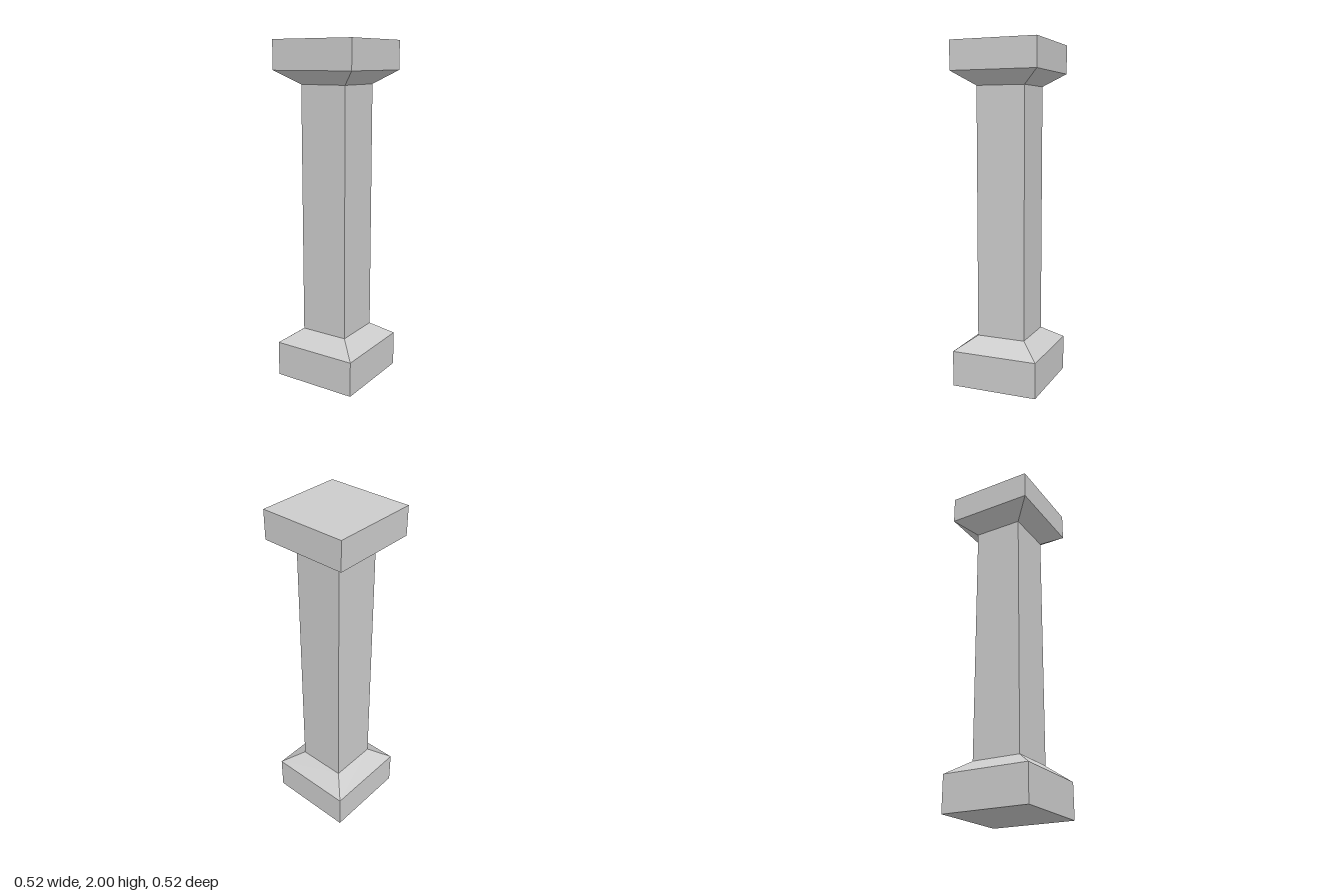
import * as THREE from 'three';

const BLOCK = 0.258; // half width of plinth and cap
const SHAFT = 0.146; // half width of shaft

export function createModel() {
  const group = new THREE.Group();
  const material = new THREE.MeshStandardMaterial({ color: 0xcccccc, flatShading: true });

  // Square section from y0 to y1, with half widths at its bottom and top
  function section(name, y0, y1, bottom, top) {
    const geometry = new THREE.CylinderGeometry(
      top * Math.SQRT2, bottom * Math.SQRT2, y1 - y0, 4, 1, true);
    geometry.rotateY(Math.PI / 4);
    geometry.translate(0, (y0 + y1) / 2, 0);
    add(name, geometry);
  }

  // Flat square closing one end of the pillar
  function endFace(name, y, tilt) {
    const geometry = new THREE.PlaneGeometry(BLOCK * 2, BLOCK * 2);
    geometry.rotateX(tilt);
    geometry.translate(0, y, 0);
    add(name, geometry);
  }

  function add(name, geometry) {
    const mesh = new THREE.Mesh(geometry, material);
    mesh.name = name;
    group.add(mesh);
  }

  // Base
  endFace('plinthUnderside', 0, Math.PI / 2);
  section('plinth', 0, 0.21, BLOCK, BLOCK);
  section('baseTaper', 0.21, 0.29, BLOCK, SHAFT);

  // Shaft
  section('shaft', 0.29, 1.755, SHAFT, SHAFT);

  // Capital
  section('capitalFlare', 1.755, 1.833, SHAFT, BLOCK);
  section('capitalBlock', 1.833, 2, BLOCK, BLOCK);
  endFace('capitalTop', 2, -Math.PI / 2);

  group.name = 'pillar';
  return group;
}
